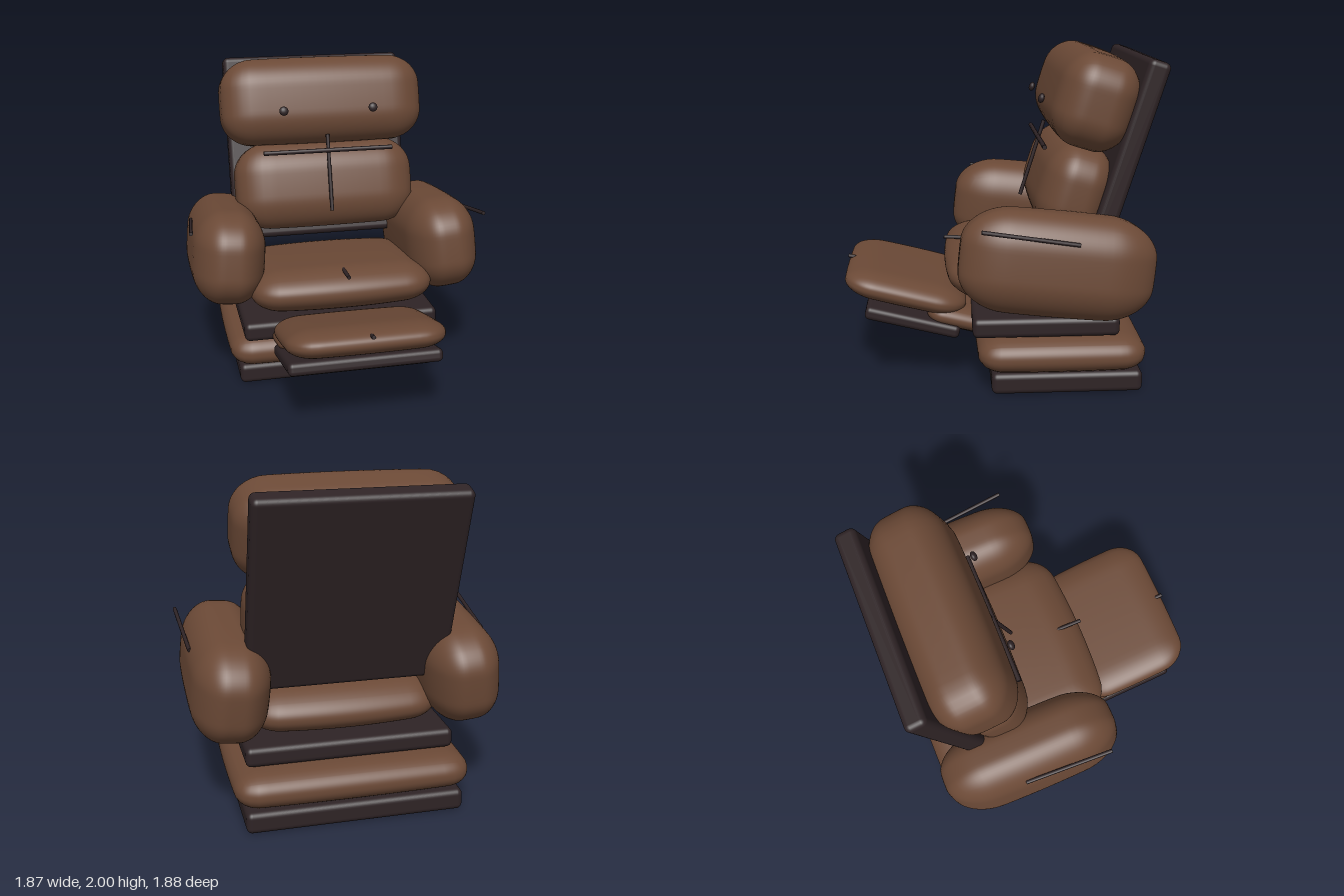
import * as THREE from 'three';
import { mergeVertices } from 'three/addons/utils/BufferGeometryUtils.js';
import { RoundedBoxGeometry } from 'three/addons/geometries/RoundedBoxGeometry.js';

const leather = new THREE.MeshStandardMaterial({ color: 0x6b4936 });
leather.name = 'brown leather';
const dark = new THREE.MeshStandardMaterial({ color: 0x2e2325 });
dark.name = 'dark trim';

// Padded cushion: a box with elliptical corner radii whose sides shrink towards their rims (puff)
function cushionGeometry(size, radii, puff) {
  const box = new THREE.BoxGeometry(...size, 24, 24, 24);
  box.deleteAttribute('uv');
  box.deleteAttribute('normal');
  const g = mergeVertices(box, 1e-5);
  const pos = g.attributes.position;
  const half = size.map((s) => s / 2);
  for (let i = 0; i < pos.count; i++) {
    const p = [pos.getX(i), pos.getY(i), pos.getZ(i)];
    const core = p.map((v, k) => THREE.MathUtils.clamp(v, radii[k] - half[k], half[k] - radii[k]));
    const d = p.map((v, k) => (v - core[k]) / radii[k]);
    const len = Math.hypot(...d) || 1;
    const q = core.map((v, k) => v + (d[k] / len) * radii[k]);
    const s = q.map((v, k) => (v / half[k]) ** 2);
    const sum = s[0] + s[1] + s[2];
    pos.setXYZ(i, ...q.map((v, k) => v * (1 - puff[k] * (sum - s[k]) / 2)));
  }
  g.computeVertexNormals();
  return g;
}

export function createModel() {
  const chair = new THREE.Group();
  chair.name = 'recliner';

  const add = (name, geometry, material, at, rx = 0, rz = 0) => {
    const mesh = new THREE.Mesh(geometry, material);
    mesh.name = name;
    mesh.position.set(...at);
    mesh.rotation.set(rx, 0, rz);
    chair.add(mesh);
    return mesh;
  };
  const cushion = (name, size, radii, puff, at, rx, rz) =>
    add(name, cushionGeometry(size, radii, puff), leather, at, rx, rz);
  const plate = (name, size, at, rx, r = 0.035) =>
    add(name, new RoundedBoxGeometry(...size, 4, r), dark, at, rx);
  const seam = (name, a, b, r = 0.012) => {
    const from = new THREE.Vector3(...a), to = new THREE.Vector3(...b);
    const dir = to.clone().sub(from);
    const mid = from.clone().add(to).multiplyScalar(0.5);
    const mesh = add(name, new THREE.CylinderGeometry(r, r, dir.length(), 10), dark, mid.toArray());
    mesh.quaternion.setFromUnitVectors(new THREE.Vector3(0, 1, 0), dir.normalize());
  };

  // Base stack
  plate('basePlate', [1.3, 0.13, 0.9], [0, 0.065, -0.38]);
  cushion('baseCushion', [1.42, 0.23, 1.01], [0.13, 0.11, 0.14], [0.03, 0.12, 0.03], [0, 0.232, -0.352]);
  plate('seatPlate', [1.25, 0.12, 0.87], [0, 0.405, -0.255]);

  // Seat
  cushion('seatCushion', [1.17, 0.29, 1.0], [0.17, 0.14, 0.17], [0.06, 0.2, 0.15], [0, 0.635, -0.16], -0.1);
  seam('seatSeam', [0, 0.785, 0.08], [0, 0.798, 0.34]);

  // Reclined back
  const lean = -0.3;
  plate('backPlate', [1.2, 1.22, 0.13], [0, 1.37, -0.7], lean);
  cushion('lumbarCushion', [1.18, 0.57, 0.43], [0.2, 0.2, 0.16], [0.04, 0.06, 0.15], [0, 1.175, -0.43], lean);
  cushion('headCushion', [1.32, 0.56, 0.48], [0.2, 0.19, 0.17], [0.03, 0.06, 0.12], [0, 1.71, -0.535], lean);
  seam('backSeamVertical', [0, 1.54, -0.29], [0, 1.07, -0.145]);
  seam('backSeamHorizontal', [-0.42, 1.445, -0.25], [0.42, 1.445, -0.25], 0.014);

  // Arms, arm seams and buttons, mirrored
  for (const side of [1, -1]) {
    const label = side > 0 ? 'left' : 'right';
    cushion(label + 'Arm', [0.46, 0.6, 1.12], [0.18, 0.21, 0.27], [0.13, 0.08, 0.06],
      [side * 0.69, 0.825, -0.297], -0.11, side * 0.09);
    seam(label + 'ArmSeam', [side * 0.925, 1.08, 0.14], [side * 0.893, 0.99, -0.4]);
    const button = add(label + 'Button', new THREE.SphereGeometry(0.029, 16, 12), dark,
      [side * 0.288, 1.715, -0.242], lean);
    button.scale.z = 0.65;
  }

  // Raised footrest
  const raise = -0.25;
  plate('footrestPlate', [0.92, 0.08, 0.58], [0, 0.39, 0.535], raise, 0.03);
  plate('footrestLink', [0.56, 0.07, 0.32], [0, 0.3, 0.21], raise, 0.02);
  cushion('footrestCushion', [0.95, 0.18, 0.76], [0.16, 0.085, 0.18], [0.04, 0.12, 0.06], [0, 0.55, 0.575], raise);
  cushion('footrestHinge', [0.91, 0.14, 0.38], [0.1, 0.068, 0.1], [0.03, 0.08, 0.03], [0, 0.395, 0.265], raise);
  seam('footrestSeam', [0, 0.672, 0.89], [0, 0.685, 0.945]);

  return chair;
}
